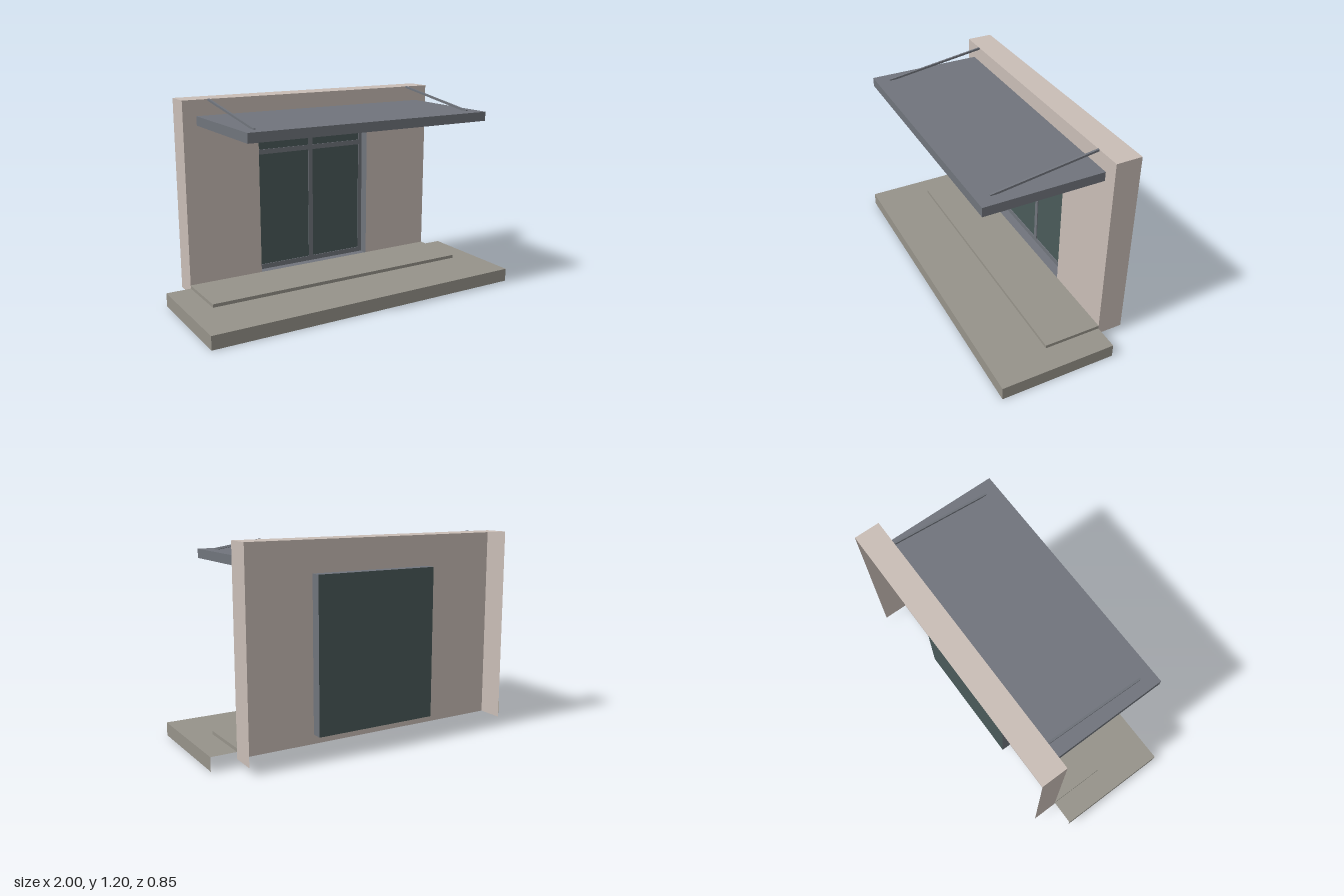
import * as THREE from 'three';

const flat = (name, color) => {
  const m = new THREE.MeshStandardMaterial({ color, side: THREE.DoubleSide });
  m.name = name;
  return m;
};

// Box between two corners, leaving out the named faces.
const FACES = ['+x', '-x', '+y', '-y', '+z', '-z'];
function box(name, material, [x0, y0, z0], [x1, y1, z1], open = []) {
  const g = new THREE.BoxGeometry(x1 - x0, y1 - y0, z1 - z0);
  g.translate((x0 + x1) / 2, (y0 + y1) / 2, (z0 + z1) / 2);
  const all = Array.from(g.index.array);
  g.setIndex(FACES.flatMap((f, i) => (open.includes(f) ? [] : all.slice(i * 6, i * 6 + 6))));
  g.clearGroups();
  const mesh = new THREE.Mesh(g, material);
  mesh.name = name;
  return mesh;
}

export function createModel() {
  const model = new THREE.Group();
  model.name = 'entrance';
  const plaster = flat('plaster', 0xc9bdb6);
  const stone = flat('stone', 0x96938a);
  const metal = flat('metal', 0x70747c);
  const glass = flat('glass', 0x4a5a59);

  const WALL = -0.27, BACK = -0.425, FRONT = 0.425;
  const W = 0.385, SILL = 0.095, HEAD = 1.0, PANE = -0.335;

  // Platform and step: hollow underneath and behind
  model.add(box('platform', stone, [-1, 0, WALL], [1, 0.08, FRONT], ['-y', '-z']));
  model.add(box('step', stone, [-0.85, 0.08, WALL], [0.85, 0.1, 0.077], ['-y', '-z']));

  // Wall: front sheet with a door opening, returned at the top and sides
  const sheet = new THREE.Shape();
  sheet.moveTo(-0.85, 0.04).lineTo(0.85, 0.04).lineTo(0.85, 1.195).lineTo(-0.85, 1.195).closePath();
  const hole = new THREE.Path();
  hole.moveTo(-W, SILL).lineTo(-W, HEAD).lineTo(W, HEAD).lineTo(W, SILL).closePath();
  sheet.holes.push(hole);
  const wallFront = new THREE.Mesh(new THREE.ShapeGeometry(sheet).translate(0, 0, WALL), plaster);
  wallFront.name = 'wallFront';
  model.add(wallFront);
  model.add(box('wallReturns', plaster, [-0.85, 0.04, BACK], [0.85, 1.195, WALL], ['-y', '+z', '-z']));

  // Glazed door: reveal lining, one pane, thin frame bars on it
  const door = new THREE.Group();
  door.name = 'door';
  door.add(box('reveal', metal, [-W, SILL, PANE], [W, HEAD, WALL], ['+z', '-z']));
  const pane = new THREE.Mesh(new THREE.PlaneGeometry(2 * W, HEAD - SILL), glass);
  pane.position.set(0, (SILL + HEAD) / 2, PANE);
  pane.name = 'pane';
  door.add(pane);
  const bar = (name, x0, y0, x1, y1) =>
    door.add(box(name, metal, [x0, y0, PANE], [x1, y1, PANE + 0.005], ['-z']));
  for (const s of [-1, 1]) bar('stile', s * 0.3725 - 0.0125, SILL, s * 0.3725 + 0.0125, HEAD);
  bar('mullion', -0.015, SILL, 0.015, HEAD);
  bar('bottomRail', -W, SILL, W, 0.125);
  bar('transom', -W, 0.83, W, 0.86);
  bar('topRail', -W, 0.975, W, HEAD);
  model.add(door);

  // Canopy slab hung from two sloping rods
  model.add(box('canopy', metal, [-0.768, 1.048, WALL], [0.768, 1.102, FRONT], ['-z']));
  const top = new THREE.Vector2(WALL, 1.192), foot = new THREE.Vector2(0.345, 1.102);
  const span = foot.clone().sub(top);
  for (const s of [-1, 1]) {
    const rod = new THREE.Mesh(new THREE.BoxGeometry(0.012, 0.012, span.length()), metal);
    rod.position.set(s * 0.692, (top.y + foot.y) / 2, (top.x + foot.x) / 2);
    rod.rotation.x = -Math.atan2(span.y, span.x);
    rod.name = 'canopyRod';
    model.add(rod);
  }
  return model;
}
